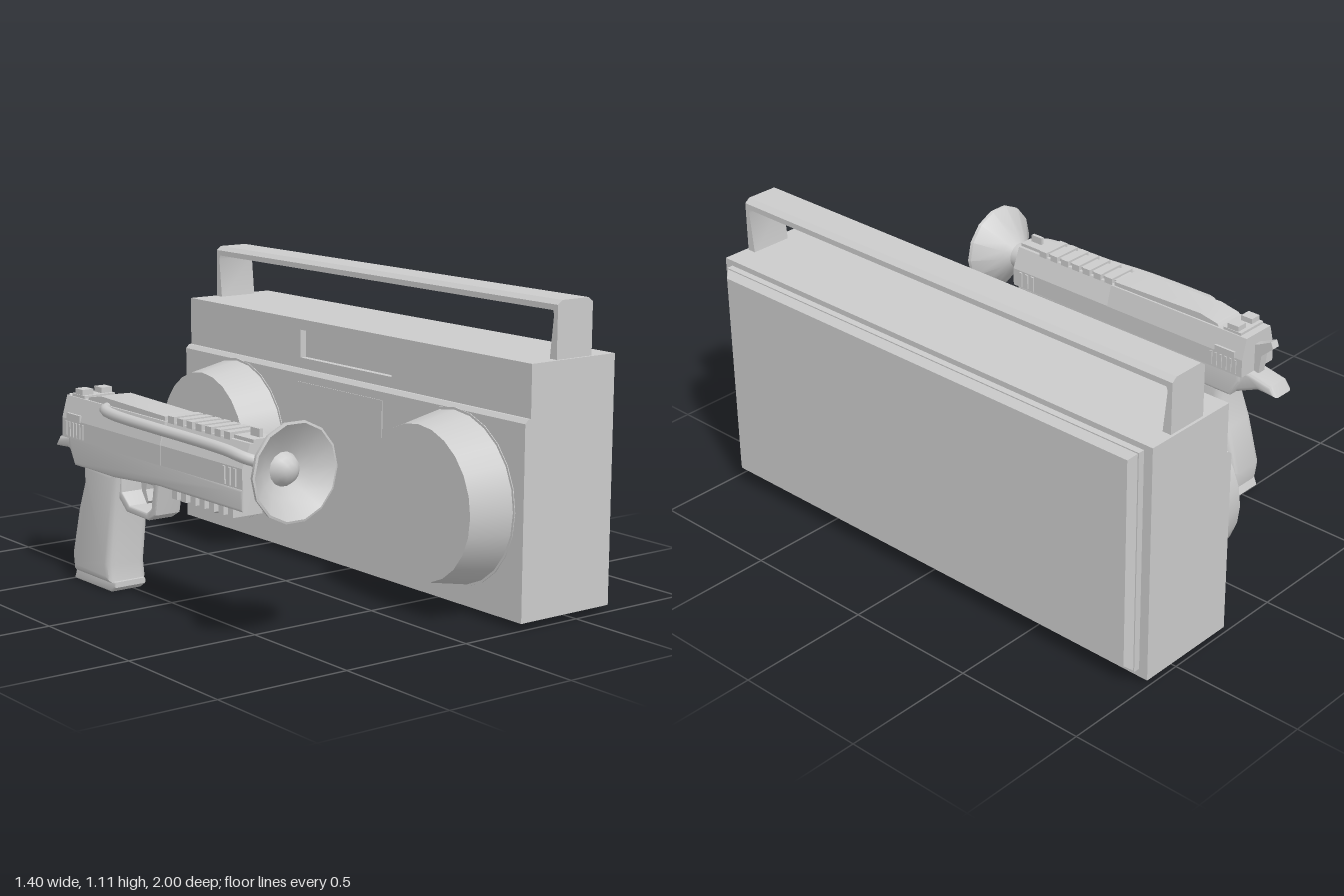
import * as THREE from 'three';
import { toCreasedNormals } from 'three/addons/utils/BufferGeometryUtils.js';

const grey = new THREE.MeshStandardMaterial({ color: 0xcccccc });
const GX = -0.53; // centre line of the pistol

const toShape = (pts) => new THREE.Shape(pts.map(([a, b]) => new THREE.Vector2(a, b)));

function add(group, name, geo, x = 0, y = 0, z = 0) {
  const mesh = new THREE.Mesh(geo, grey);
  mesh.name = name;
  mesh.position.set(x, y, z);
  group.add(mesh);
  return mesh;
}

// Box given by its min and max corners
function box(group, name, [x0, y0, z0], [x1, y1, z1]) {
  return add(group, name, new THREE.BoxGeometry(x1 - x0, y1 - y0, z1 - z0),
    (x0 + x1) / 2, (y0 + y1) / 2, (z0 + z1) / 2);
}

// Cross-section in (x, y), run along z
function alongZ(shape, z0, z1) {
  const geo = new THREE.ExtrudeGeometry(shape, { depth: z1 - z0, bevelEnabled: false });
  return geo.translate(0, 0, z0);
}

// Side outline in (z, y), run along x and centred on x = 0
function alongX(shape, width, bevel = 0) {
  const geo = new THREE.ExtrudeGeometry(shape, {
    depth: width - 2 * bevel, bevelEnabled: bevel > 0, bevelSize: bevel,
    bevelThickness: bevel, bevelOffset: -bevel, bevelSegments: 3, curveSegments: 8,
  });
  geo.translate(0, 0, -(width - 2 * bevel) / 2).rotateY(-Math.PI / 2);
  return toCreasedNormals(geo, 0.6);
}

function createStereo() {
  const g = new THREE.Group();
  g.name = 'stereo';

  // Case: full-depth lower half with a chamfered ledge, set-back upper half
  add(g, 'case', alongZ(toShape([
    [0.245, 0.025], [0.65, 0.025], [0.65, 0.91], [0.295, 0.91],
    [0.295, 0.725], [0.26, 0.725], [0.245, 0.71],
  ]), -1, 1));

  // Upper fascia with the recessed display window
  const fascia = toShape([[-1, 0.72], [1, 0.72], [1, 0.91], [-1, 0.91]]);
  fascia.holes.push(toShape([[-0.27, 0.765], [-0.27, 0.87], [0.27, 0.87], [0.27, 0.765]]));
  add(g, 'fascia', alongX(fascia, 0.025), 0.2825);
  box(g, 'cassetteDoor', [0.242, 0.39, -0.25], [0.26, 0.68, 0.25]);

  // Back panel with bevelled edge: rectangular cross-sections stepping outward
  const rect = (y, z) => toShape([[-z, -y], [z, -y], [z, y], [-z, y]]);
  add(g, 'backPanelBase', alongX(rect(0.417, 0.965), 0.03), 0.66, 0.473);
  const bevelled = new THREE.BoxGeometry(0.03, 0.834, 1.93);
  const p = bevelled.attributes.position;
  for (let i = 0; i < p.count; i++) {
    if (p.getX(i) > 0) p.setXYZ(i, 0.015, p.getY(i) * 0.94, p.getZ(i) * 0.974);
  }
  bevelled.computeVertexNormals();
  add(g, 'backPanel', bevelled, 0.685, 0.473, 0);

  // Speakers: tapered drums with a thin seat ring
  for (const z of [-0.648, 0.645]) {
    const drum = new THREE.CylinderGeometry(0.275, 0.308, 0.17, 24).rotateZ(Math.PI / 2);
    add(g, 'speaker', drum, 0.165, 0.4, z);
    const seat = new THREE.CylinderGeometry(0.315, 0.315, 0.01, 24).rotateZ(Math.PI / 2);
    add(g, 'speakerSeat', seat, 0.247, 0.4, z);
  }

  // Carry handle: chamfered bar on two tapered legs
  add(g, 'handleBar', alongZ(toShape([
    [0.39, 1.075], [0.55, 1.075], [0.55, 1.095], [0.53, 1.11], [0.41, 1.11], [0.39, 1.095],
  ]), -0.99, 0.99));
  for (const s of [-1, 1]) {
    const leg = [[0.99, 0.9], [0.99, 1.08], [0.965, 1.08], [0.972, 1.06], [0.955, 0.9]];
    add(g, 'handleLeg', alongX(toShape(leg.map(([z, y]) => [s * z, y])), 0.16), 0.47);
  }
  return g;
}

function createPistol() {
  const g = new THREE.Group();
  g.name = 'pistol';
  g.position.x = GX;

  // Frame under the slide, with tang at the rear
  add(g, 'frame', alongX(toShape([
    [-0.46, 0.43], [-0.2, 0.43], [0.08, 0.45], [0.59, 0.45], [0.59, 0.53], [-0.5, 0.55], [-0.5, 0.5],
  ]), 0.165, 0.012));
  add(g, 'tang', alongX(toShape([
    [-0.38, 0.4], [-0.36, 0.53], [-0.52, 0.53], [-0.62, 0.51], [-0.645, 0.47], [-0.56, 0.475], [-0.46, 0.43],
  ]), 0.1, 0.015));

  // Slide: rear block, then a slimmer-topped barrel shroud
  const section = (w, top, h) => toShape([
    [-w, 0.53], [w, 0.53], [w, 0.6], [top, h], [-top, h], [-w, 0.6],
  ]);
  add(g, 'slide', alongZ(section(0.092, 0.07, 0.68), -0.52, 0.12));
  add(g, 'barrelShroud', alongZ(section(0.09, 0.058, 0.68), 0.12, 0.6));
  add(g, 'slideTop', alongX(toShape([
    [-0.4, 0.66], [0.11, 0.66], [0.11, 0.695], [-0.3, 0.705], [-0.38, 0.69],
  ]), 0.125));

  // Ribs across the barrel, vents at the muzzle, rail teeth beneath
  for (let i = 0; i < 7; i++) {
    const z = 0.125 + i * 0.055;
    box(g, 'barrelRib', [-0.06, 0.67, z], [0.06, 0.7, z + 0.035]);
    box(g, 'railTooth', [-0.06, 0.415, z + 0.02], [0.06, 0.455, z + 0.05]);
  }
  box(g, 'barrelFlat', [-0.045, 0.67, 0.11], [0.045, 0.692, 0.6]);
  for (const s of [-1, 1]) {
    for (let i = 0; i < 3; i++) {
      const z = 0.5 + i * 0.03;
      add(g, 'muzzleVent', new THREE.BoxGeometry(0.012, 0.06, 0.014), s * 0.09, 0.565, z);
    }
    for (let i = 0; i < 6; i++) {
      add(g, 'slideSerration', new THREE.BoxGeometry(0.008, 0.055, 0.01), s * 0.092, 0.565, -0.49 + i * 0.022);
    }
    add(g, 'safetyLever', new THREE.BoxGeometry(0.02, 0.025, 0.09), s * 0.085, 0.61, -0.44);
    add(g, 'rearSight', new THREE.BoxGeometry(0.045, 0.04, 0.05), s * 0.04, 0.69, -0.45);
  }
  box(g, 'rearSightBase', [-0.065, 0.66, -0.49], [0.065, 0.69, -0.41]);
  box(g, 'frontSight', [-0.007, 0.68, 0.53], [0.007, 0.72, 0.58]);

  // Hammer
  add(g, 'hammer', alongX(toShape([
    [-0.48, 0.52], [-0.48, 0.63], [-0.53, 0.64], [-0.59, 0.67], [-0.6, 0.645], [-0.55, 0.6], [-0.54, 0.52],
  ]), 0.035));

  // Grip and magazine base
  add(g, 'grip', alongX(toShape([
    [-0.49, 0.03], [-0.23, 0.03], [-0.24, 0.1], [-0.19, 0.45], [-0.41, 0.46],
    [-0.41, 0.38], [-0.45, 0.28], [-0.5, 0.1],
  ]), 0.16, 0.03));
  add(g, 'magazineBase', alongX(toShape([
    [-0.5, 0], [-0.25, 0], [-0.22, 0.02], [-0.22, 0.04], [-0.48, 0.05],
  ]), 0.13, 0.006));

  // Trigger guard and trigger
  const guard = toShape([
    [-0.22, 0.45], [-0.22, 0.36], [-0.16, 0.31], [-0.02, 0.305], [0.025, 0.33], [0.05, 0.45],
  ]);
  guard.holes.push(toShape([
    [-0.19, 0.435], [0.015, 0.435], [0.0, 0.35], [-0.03, 0.33], [-0.14, 0.335], [-0.19, 0.375],
  ]));
  add(g, 'triggerGuard', alongX(guard, 0.105, 0.006));
  add(g, 'trigger', alongX(toShape([
    [-0.12, 0.45], [-0.11, 0.39], [-0.08, 0.35], [-0.07, 0.36], [-0.085, 0.4], [-0.07, 0.45],
  ]), 0.035));

  // Flared muzzle cup with a domed centre
  const profile = [
    [0, 0.57], [0.052, 0.57], [0.05, 0.655], [0.075, 0.675], [0.168, 0.755], [0.17, 0.768], [0.162, 0.77],
    [0.1, 0.725], [0.058, 0.705], [0.045, 0.73], [0.025, 0.745], [0, 0.75],
  ].map(([r, z]) => new THREE.Vector2(r, z));
  const cup = new THREE.LatheGeometry(profile, 14, Math.PI / 2).rotateX(Math.PI / 2);
  add(g, 'muzzleCup', toCreasedNormals(cup, 0.7), 0, 0.607, 0);

  // Hose along the right-hand side, from the slide to the cup
  const path = new THREE.CatmullRomCurve3([
    [-0.06, 0.67, -0.26], [-0.09, 0.67, -0.23], [-0.102, 0.665, -0.16], [-0.105, 0.66, 0.1],
    [-0.095, 0.655, 0.28], [-0.095, 0.65, 0.52], [-0.09, 0.64, 0.61], [-0.065, 0.63, 0.645], [-0.03, 0.62, 0.645],
  ].map((v) => new THREE.Vector3(...v)));
  add(g, 'hose', new THREE.TubeGeometry(path, 48, 0.02, 10));
  return g;
}

export function createModel() {
  const model = new THREE.Group();
  model.name = 'stereoAndPistol';
  model.add(createStereo(), createPistol());
  return model;
}
